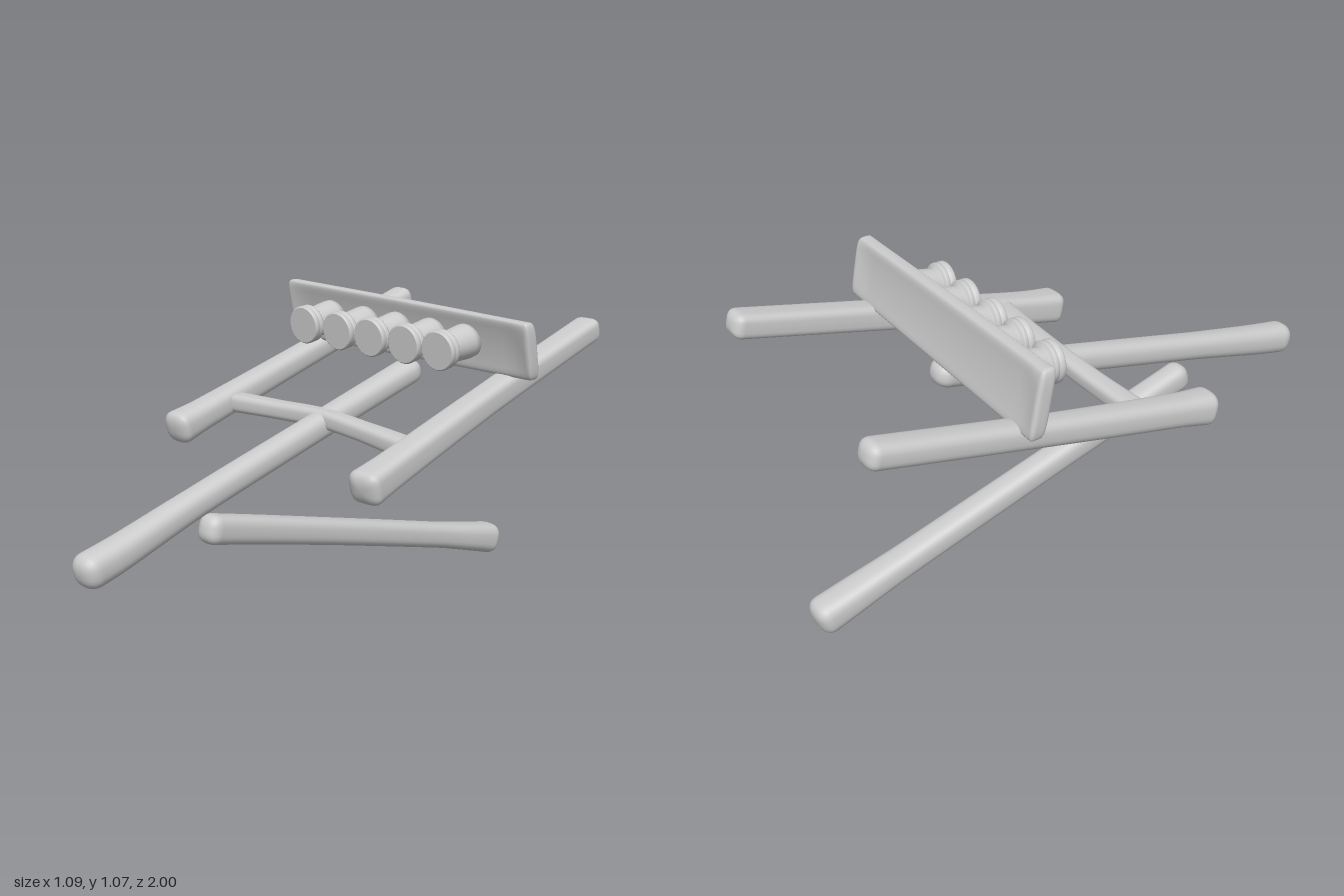
import * as THREE from 'three';

const material = new THREE.MeshStandardMaterial({ color: 0xcccccc, side: THREE.DoubleSide });

// Rounded bar swept through stations [x, y, z, halfWidth, halfHeight].
// power: squareness of the section; round: length of the rounded ends;
// pinch: thinning at mid height; lean: sideways shift per unit of height.
function bar(name, stations, { power = 3, round = 0.04, endPower = 2.4, pinch = 0, lean = 0 } = {}) {
  const curve = new THREE.CatmullRomCurve3(stations.map(s => new THREE.Vector3(s[0], s[1], s[2])));
  const length = curve.getLength();
  const segs = 32, endSteps = 10, midSteps = 24;

  // Ring distances, dense in the rounded ends
  const dist = [];
  for (let i = 0; i < endSteps; i++) dist.push(round * (i / endSteps) ** 2.5);
  for (let i = 0; i <= midSteps; i++) dist.push(round + (length - 2 * round) * i / midSteps);
  for (let i = endSteps - 1; i >= 0; i--) dist.push(length - round * (i / endSteps) ** 2.5);

  const up = new THREE.Vector3(0, 1, 0);
  const pos = [], index = [];
  const signedPow = v => Math.sign(v) * Math.abs(v) ** (2 / power);
  dist.forEach((d, i) => {
    const u = Math.min(1, Math.max(0, d / length));
    const t = curve.getUtoTmapping(u);
    const p = curve.getPoint(t), tan = curve.getTangent(t);
    const side = new THREE.Vector3().crossVectors(up, tan).normalize();
    const rise = new THREE.Vector3().crossVectors(tan, side);
    const f = t * (stations.length - 1);
    const k = Math.min(stations.length - 2, Math.floor(f));
    const size = n => THREE.MathUtils.lerp(stations[k][n], stations[k + 1][n], f - k);
    const edge = Math.min(d, length - d);
    const cap = edge >= round ? 1 : Math.max(0, 1 - (1 - edge / round) ** endPower) ** (1 / endPower);
    const thin = pinch * THREE.MathUtils.smoothstep(edge, 0.01, 0.07);
    for (let j = 0; j < segs; j++) {
      const a = j / segs * Math.PI * 2;
      const v = signedPow(Math.sin(a));
      const h = v * size(4) * cap;
      const w = signedPow(Math.cos(a)) * size(3) * cap * (1 - thin * (1 - v * v)) - lean * h;
      const q = p.clone().addScaledVector(side, w).addScaledVector(rise, h);
      pos.push(q.x, q.y, q.z);
      if (i < dist.length - 1) {
        const j2 = (j + 1) % segs, A = i * segs + j, B = i * segs + j2;
        index.push(A, B, B + segs, A, B + segs, A + segs);
      }
    }
  });
  const geo = new THREE.BufferGeometry();
  geo.setAttribute('position', new THREE.Float32BufferAttribute(pos, 3));
  geo.setIndex(index);
  geo.computeVertexNormals();
  const mesh = new THREE.Mesh(geo, material);
  mesh.name = name;
  return mesh;
}

// Round knob: neck, flange with a groove, flat face; the axis runs along +y of the lathe
function knobGeometry() {
  const profile = [
    [0, 0], [0.058, 0], [0.06, 0.04], [0.056, 0.09], [0.051, 0.125], [0.052, 0.133],
    [0.064, 0.136], [0.067, 0.141], [0.067, 0.15], [0.064, 0.154], [0.064, 0.157],
    [0.068, 0.161], [0.068, 0.172], [0.065, 0.177], [0.063, 0.178],
  ].map(([r, y]) => new THREE.Vector2(r, y));
  const geo = new THREE.LatheGeometry(profile, 32);
  geo.rotateX(Math.PI / 2);
  return geo;
}

export function createModel() {
  const group = new THREE.Group();

  // Long middle rail, low at the front
  group.add(bar('centerRail', [
    [0.022, 0.465, 1.0, 0.056, 0.056],
    [0.02, 0.49, 0.88, 0.054, 0.054],
    [0.01, 0.575, 0.55, 0.047, 0.046],
    [0.005, 0.71, 0.0, 0.045, 0.045],
    [0, 0.832, -0.51, 0.052, 0.044],
  ], { power: 2.5, round: 0.05 }));

  // Two shorter side rails
  group.add(bar('leftRail', [
    [0.44, 0.643, 0.255, 0.06, 0.056],
    [0.432, 0.675, 0.12, 0.053, 0.052],
    [0.422, 0.806, -0.36, 0.047, 0.046],
    [0.415, 0.968, -0.985, 0.05, 0.042],
  ], { power: 3.6, round: 0.035 }));
  group.add(bar('rightRail', [
    [-0.43, 0.665, 0.25, 0.06, 0.058],
    [-0.434, 0.695, 0.12, 0.053, 0.05],
    [-0.445, 0.811, -0.36, 0.047, 0.045],
    [-0.455, 0.97, -0.985, 0.049, 0.042],
  ], { power: 2.8, round: 0.035 }));

  // Prop leg sloping down to the back
  group.add(bar('propLeg', [
    [0.012, 0.483, 0.51, 0.046, 0.05],
    [0.01, 0.455, 0.4, 0.046, 0.048],
    [0.008, 0.335, -0.04, 0.047, 0.046],
    [0.006, 0.16, -0.66, 0.052, 0.047],
    [0.006, 0.108, -0.84, 0.058, 0.053],
    [0.004, 0.065, -0.99, 0.061, 0.06],
  ], { power: 2.8, round: 0.045 }));

  // Crossbar joining the rails
  group.add(bar('crossbar', [
    [-0.43, 0.72, -0.018, 0.04, 0.034],
    [-0.2, 0.728, -0.032, 0.036, 0.031],
    [0, 0.735, -0.038, 0.034, 0.032],
    [0.2, 0.728, -0.026, 0.036, 0.031],
    [0.43, 0.714, -0.006, 0.042, 0.036],
  ], { round: 0.03 }));

  // Upright board, thicker along its rim
  group.add(bar('board', [
    [-0.55, 0.98, -0.464, 0.027, 0.11],
    [0, 0.978, -0.464, 0.027, 0.105],
    [0.542, 0.974, -0.464, 0.027, 0.098],
  ], { power: 5, round: 0.022, endPower: 4, pinch: 0.45, lean: 0.22 }));

  // Row of knobs on the board
  const geo = knobGeometry();
  const faceGeo = new THREE.CircleGeometry(0.063, 32);
  [-0.335, -0.172, -0.022, 0.133, 0.281].forEach(x => {
    const knob = new THREE.Group();
    knob.name = 'knob';
    const body = new THREE.Mesh(geo, material);
    body.name = 'knobBody';
    const face = new THREE.Mesh(faceGeo, material);
    face.name = 'knobFace';
    face.position.z = 0.178;
    knob.add(body, face);
    knob.position.set(x, 0.98, -0.463);
    knob.rotation.x = 0.08;
    group.add(knob);
  });

  return group;
}
